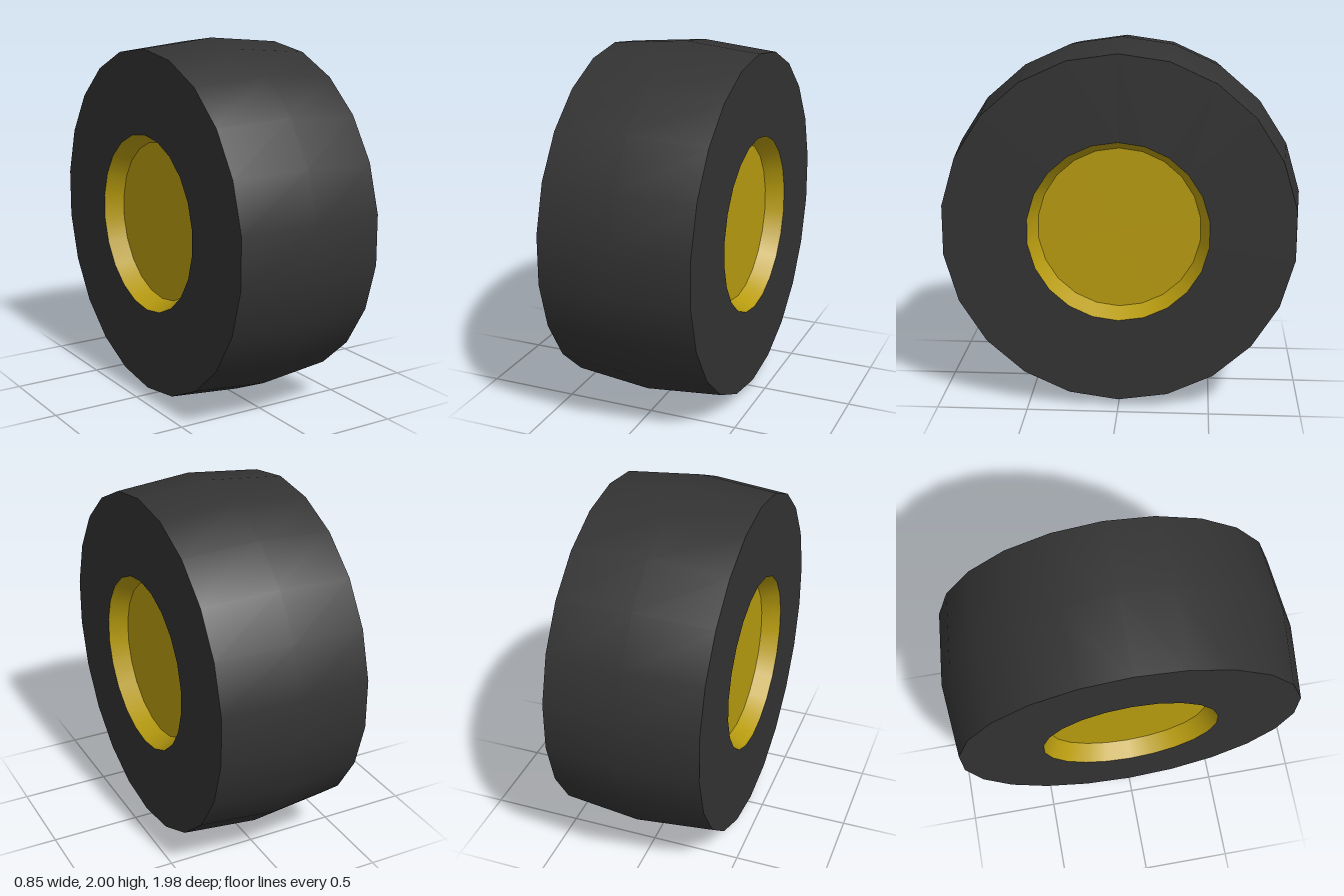
import * as THREE from 'three';

const SIDES = 22;

export function createModel() {
  const rubber = new THREE.MeshStandardMaterial({ color: 0x333333 });
  rubber.name = 'dark rubber';
  const yellow = new THREE.MeshStandardMaterial({ color: 0xb89c0f });
  yellow.name = 'hub yellow';

  const wheel = new THREE.Group();
  wheel.name = 'wheel';

  // Revolve a short profile of [radius, offset along axle] pairs about the x axis
  function addRing(name, profile, material) {
    const points = profile.map(([r, y]) => new THREE.Vector2(r, y));
    const geometry = new THREE.LatheGeometry(points, SIDES, Math.PI / 2);
    geometry.rotateZ(Math.PI / 2);
    const mesh = new THREE.Mesh(geometry, material);
    mesh.name = name;
    mesh.position.y = 1;
    wheel.add(mesh);
  }

  // Crowned tread
  addRing('tread', [[0.96, -0.425], [1, 0], [0.96, 0.425]], rubber);

  // Each side: flat sidewall, tapered rim and recessed hub disc
  for (const side of [1, -1]) {
    const label = side > 0 ? 'right' : 'left';
    const addSide = (name, a, b, material) => {
      const profile = [[a[0], a[1] * side], [b[0], b[1] * side]];
      addRing(label + name, side > 0 ? profile : profile.reverse(), material);
    };
    addSide('Sidewall', [0.96, 0.425], [0.495, 0.425], rubber);
    addSide('Rim', [0.495, 0.425], [0.445, 0.325], yellow);
    addSide('HubDisc', [0.445, 0.325], [0, 0.325], yellow);
  }
  return wheel;
}
